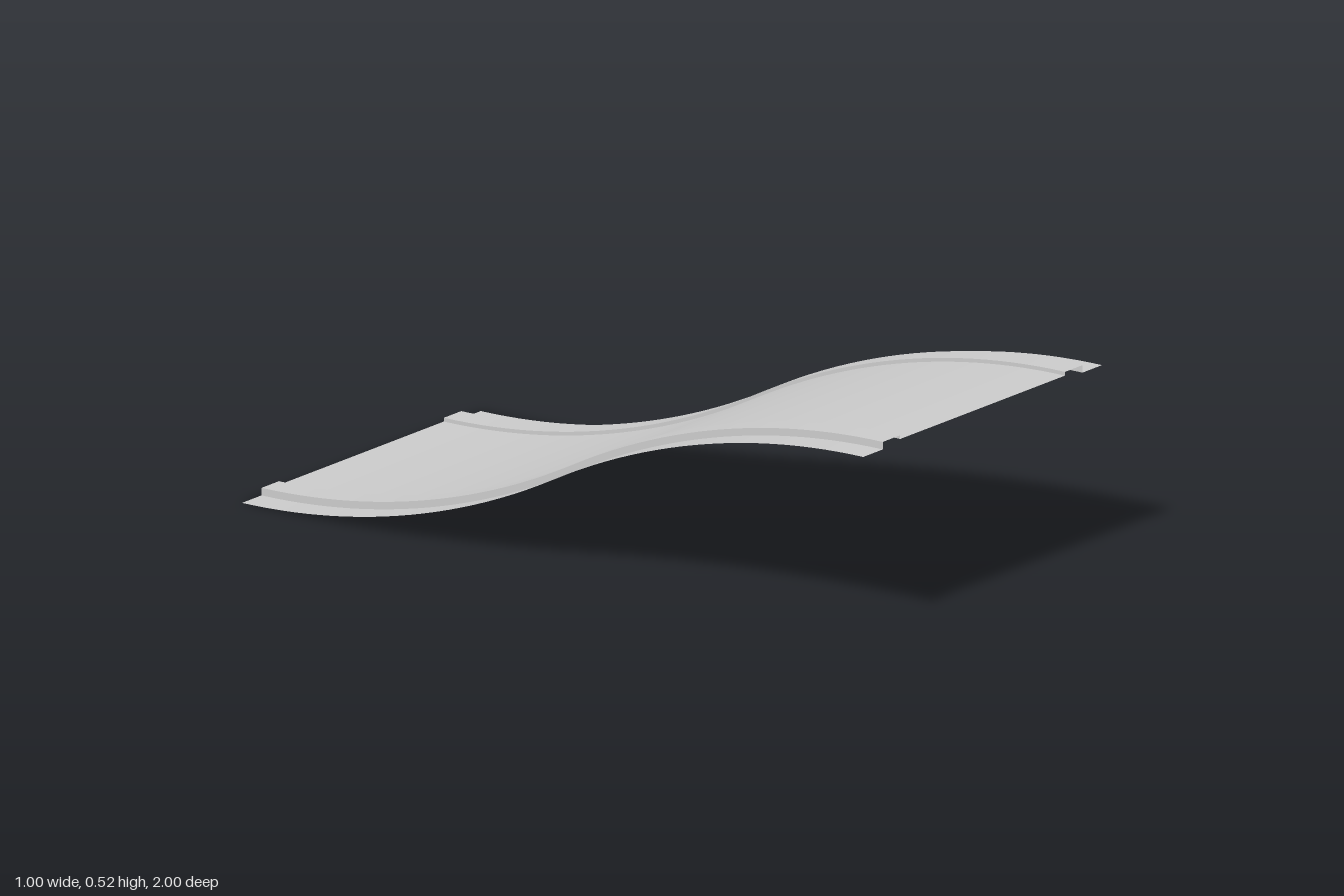
import * as THREE from 'three';

const RADIUS = 2.125; // two tangent arcs, each 1 long and 0.25 high

// Height of the S-shaped ramp: low at the back, high at the front
function rampHeight(z) {
  const d = 1 - Math.abs(z);
  const sag = RADIUS - Math.sqrt(RADIUS * RADIUS - d * d);
  return z < 0 ? sag : 0.5 - sag;
}

// Thin strip following the ramp between two points of the cross-section
function strip(name, [x0, y0], [x1, y1], material) {
  const geometry = new THREE.PlaneGeometry(1, 2, 1, 48).rotateX(-Math.PI / 2);
  const pos = geometry.attributes.position;
  for (let i = 0; i < pos.count; i++) {
    const t = pos.getX(i) + 0.5;
    const z = pos.getZ(i);
    pos.setXYZ(i, x0 + (x1 - x0) * t, y0 + (y1 - y0) * t + rampHeight(z), z);
  }
  geometry.computeVertexNormals();
  const mesh = new THREE.Mesh(geometry, material);
  mesh.name = name;
  return mesh;
}

export function createModel() {
  const group = new THREE.Group();
  group.name = 'curvedRoadRamp';
  const material = new THREE.MeshStandardMaterial({ color: 0xcccccc, side: THREE.DoubleSide });

  // Cross-section from the outer edge to the road, on the right side
  const half = [[-0.5, 0], [-0.418, 0], [-0.418, 0.02], [-0.345, 0.02], [-0.345, 0.01]];
  const names = ['Verge', 'KerbOuterWall', 'KerbTop', 'KerbInnerWall'];

  // Verges and kerbs, mirrored
  names.forEach((name, i) => {
    const [a, b] = [half[i], half[i + 1]];
    group.add(strip('right' + name, a, b, material));
    group.add(strip('left' + name, [-b[0], b[1]], [-a[0], a[1]], material));
  });

  // Road surface
  group.add(strip('road', [-0.345, 0.01], [0.345, 0.01], material));
  return group;
}
